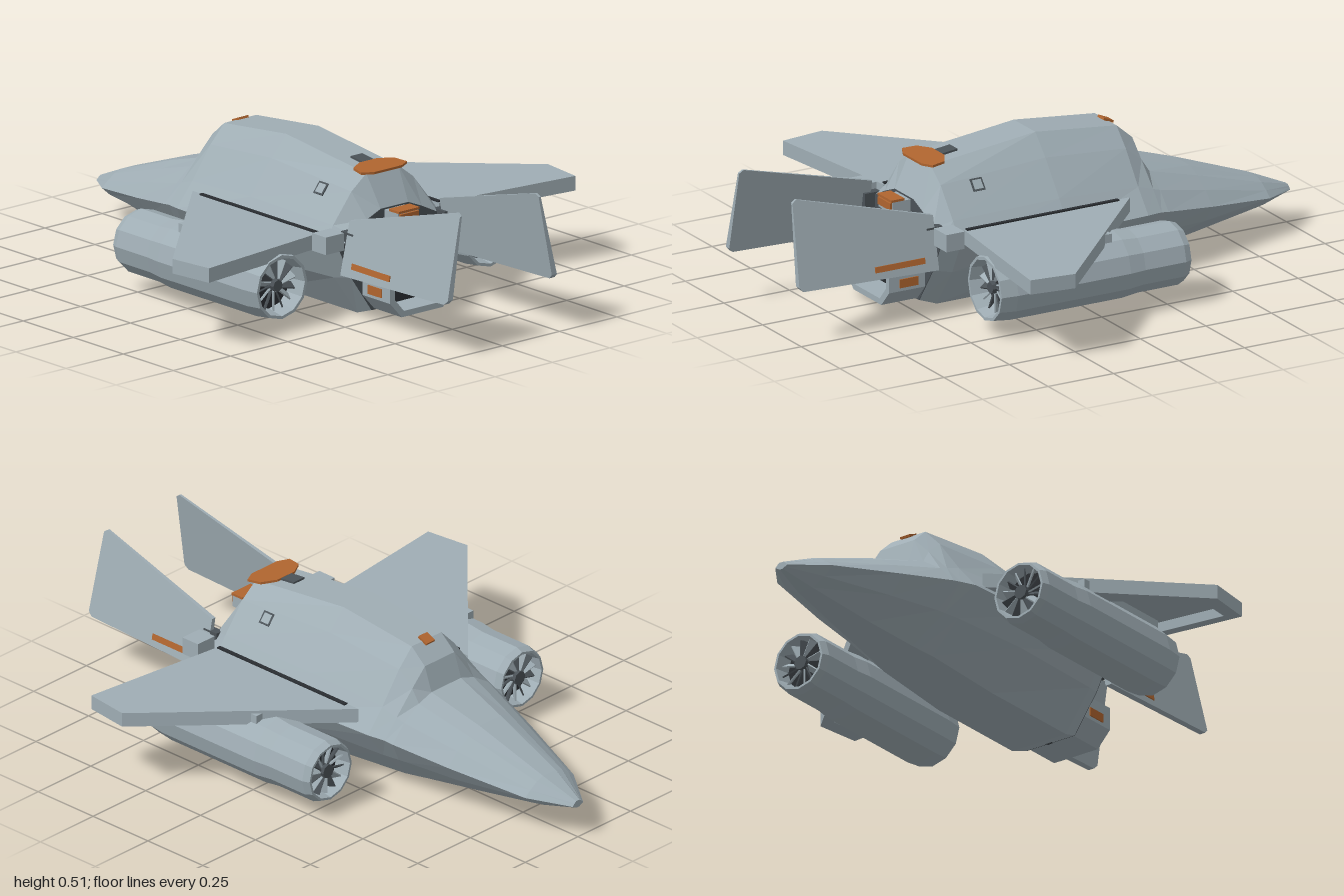
import * as THREE from 'three';

const paint = (name, color) => {
  const m = new THREE.MeshStandardMaterial({ color, flatShading: true, side: THREE.DoubleSide });
  m.name = name;
  return m;
};

export function createModel() {
  const hullGrey = paint('hullGrey', 0x9fadb4);
  const darkGrey = paint('darkGrey', 0x4b5257);
  const black = paint('black', 0x2a2e32);
  const orange = paint('orange', 0xb0652f);
  const model = new THREE.Group();
  model.name = 'spacecraft';

  const add = (parent, name, geo, mat, x = 0, y = 0, z = 0) => {
    const m = new THREE.Mesh(geo, mat);
    m.name = name;
    m.position.set(x, y, z);
    parent.add(m);
    return m;
  };
  const box = (parent, name, mat, w, h, d, x, y, z) =>
    add(parent, name, new THREE.BoxGeometry(w, h, d), mat, x, y, z);
  const poly = pts => pts.map(p => new THREE.Vector2(p[0], p[1]));
  const extrude = (pts, depth, hole) => {
    const s = new THREE.Shape(poly(pts));
    if (hole) s.holes.push(new THREE.Path(poly(hole)));
    return new THREE.ExtrudeGeometry(s, { depth, bevelEnabled: false });
  };

  // Hull: half sections listed from roof to keel as [z, y]
  const sections = [
    [-1, [.008, .135], [.015, .13], [.02, .125], [.025, .12], [.015, .115], [.006, .11]],
    [-.87, [.03, .19], [.06, .18], [.09, .16], [.115, .14], [.08, .11], [.03, .083]],
    [-.6, [.05, .285], [.1, .265], [.155, .23], [.2, .185], [.15, .12], [.06, .05]],
    [-.4, [.07, .345], [.13, .325], [.2, .28], [.255, .22], [.19, .13], [.085, .03]],
    [-.37, [.07, .43], [.13, .37], [.205, .29], [.26, .225], [.195, .13], [.09, .027]],
    [-.31, [.07, .482], [.13, .42], [.21, .31], [.277, .23], [.205, .13], [.1, .022]],
    [0, [.07, .515], [.135, .445], [.225, .33], [.295, .23], [.23, .13], [.11, 0]],
    [.4, [.07, .47], [.135, .42], [.215, .32], [.265, .25], [.21, .14], [.11, 0]],
    [.46, [.06, .36], [.12, .335], [.19, .3], [.24, .25], [.19, .15], [.1, .02]],
  ];
  const rings = sections.map(([x, ...half]) => [
    ...half.map(([z, y]) => [x, y, z]),
    ...half.slice().reverse().map(([z, y]) => [x, y, -z]),
  ]);
  const n = rings[0].length;
  const index = [];
  for (let i = 0; i < rings.length - 1; i++)
    for (let j = 0; j < n; j++) {
      const a = i * n + j, b = i * n + (j + 1) % n;
      index.push(a, b, a + n, b, b + n, a + n);
    }
  for (let j = 1; j < n - 1; j++) index.push(0, j + 1, j);
  const hull = new THREE.BufferGeometry();
  hull.setAttribute('position', new THREE.Float32BufferAttribute(rings.flat(2), 3));
  hull.setIndex(index);
  hull.computeVertexNormals();
  add(model, 'hull', hull, hullGrey);

  // Dark bulkhead closing the hull
  const endPts = rings[rings.length - 1].map(p => [-p[2], p[1]]);
  add(model, 'rearBulkhead', extrude(endPts, .004).rotateY(Math.PI / 2), darkGrey, .458);

  // Exhaust: open trough with a dark core
  const trough = [[-.14, .16], [-.14, .08], [-.09, .025], [.09, .025], [.14, .08], [.14, .16],
    [.12, .16], [.12, .09], [.08, .045], [-.08, .045], [-.12, .09], [-.12, .16]];
  add(model, 'exhaustTrough', extrude(trough, .19).rotateY(Math.PI / 2), hullGrey, .41);
  const lining = trough.slice(6).map(([z, y]) => [z * .99, y + .002]);
  add(model, 'exhaustLining', extrude(lining, .05).rotateY(Math.PI / 2), black, .46);
  const core = new THREE.CylinderGeometry(.1, .14, .06, 8).rotateZ(-Math.PI / 2);
  add(model, 'exhaustCore', core, black, .48, .15);
  box(model, 'rearPost', darkGrey, .05, .2, .06, .5, .24, 0);
  box(model, 'postHead', hullGrey, .07, .04, .09, .495, .335, 0);
  box(model, 'postCap', orange, .05, .008, .09, .51, .359, 0);
  box(model, 'postLight', orange, .008, .025, .08, .534, .34, 0);

  // Roof markings and beacon
  const roofPatch = extrude([[.33, -.04], [.36, -.09], [.41, -.1], [.43, -.06], [.43, .06],
    [.41, .1], [.36, .09], [.33, .04]], .008).rotateX(Math.PI / 2);
  add(model, 'roofPatch', roofPatch, orange, 0, .482).rotation.z = -.06;
  model.getObjectByName('roofPatch').position.y = .505;
  box(model, 'roofHatch', darkGrey, .06, .008, .05, .3, .484, 0).rotation.z = -.11;
  box(model, 'canopyBeacon', orange, .04, .008, .04, -.31, .484, 0).rotation.z = .4;

  // Engine pod shell turned around its long axis, y becomes x
  const shell = [[.08, -.24], [.092, -.31], [.1, -.31], [.11, -.285], [.11, -.13], [.117, -.07],
    [.117, .36], [.11, .42], [.1, .42], [.085, .34]];
  const wing = [[-.25, .26], [.29, .82], [.45, .8], [.385, .26]];
  const wingHollow = [[-.1, .29], [.29, .765], [.41, .755], [.355, .29]];
  const fin = [[.47, .17], [.985, .185], [1, .2], [.99, .475], [.975, .485], [.47, .35]];
  const lean = y => .235 - (y - .16) * .2;

  for (const [side, name] of [[1, 'left'], [-1, 'right']]) {
    const half = new THREE.Group();
    half.name = name + 'Side';
    half.scale.z = side;
    model.add(half);

    // Wing: thin skin over a deep rim, hollow below
    add(half, 'wingSkin', extrude(wing, .015).rotateX(Math.PI / 2), hullGrey, 0, .3);
    add(half, 'wingRim', extrude(wing, .037, wingHollow).rotateX(Math.PI / 2), hullGrey, 0, .287);
    box(half, 'wingRootSeam', black, .58, .008, .014, .09, .301, .268);
    box(half, 'enginePylon', hullGrey, .4, .05, .12, .17, .265, .455);

    // Engine pod with a fan at each end
    const pod = new THREE.Group();
    pod.name = 'enginePod';
    pod.position.set(0, .16, .455);
    half.add(pod);
    add(pod, 'podShell', new THREE.LatheGeometry(poly(shell), 12).rotateZ(-Math.PI / 2), hullGrey);
    for (const [x, label] of [[-.25, 'intake'], [.35, 'outlet']]) {
      const disc = new THREE.CylinderGeometry(.09, .09, .01, 12).rotateZ(Math.PI / 2);
      add(pod, label + 'Disc', disc, black, x);
      const out = Math.sign(x) * .025;
      const hub = new THREE.CylinderGeometry(.02, .025, .05, 8).rotateZ(-Math.PI / 2);
      add(pod, label + 'Hub', hub, darkGrey, x + out);
      for (let i = 0; i < 14; i++) {
        const blade = new THREE.BoxGeometry(.03, .065, .005);
        blade.rotateY(.6).translate(0, .055, 0).rotateX(i * Math.PI / 7);
        add(pod, label + 'Blade', blade, i % 2 ? hullGrey : darkGrey, x + out);
      }
    }

    // Tail fin leaning inward, thinner toward the top
    const finGeo = extrude(fin, 1);
    const p = finGeo.attributes.position;
    for (let i = 0; i < p.count; i++) {
      const y = p.getY(i);
      p.setZ(i, lean(y) + (p.getZ(i) - .5) * (.024 - (y - .17) * .05));
    }
    finGeo.computeVertexNormals();
    add(half, 'tailFin', finGeo, hullGrey);
    box(half, 'finStripe', orange, .19, .02, .006, .615, .21, lean(.21) + .012).rotation.x = -.2;
    box(half, 'finHinge', darkGrey, .06, .1, .03, .47, .26, .2);
    box(half, 'finBracket', hullGrey, .07, .06, .08, .455, .29, .285);

    // Small side details
    box(half, 'troughPatch', orange, .07, .03, .006, .525, .107, .141);
    const hatch = box(half, 'sideHatch', darkGrey, .045, .006, .045, .27, .405, .153);
    hatch.rotation.x = .9;
    box(half, 'hatchCover', hullGrey, .033, .008, .033, .27, .405, .153).rotation.x = .9;
  }
  return model;
}
